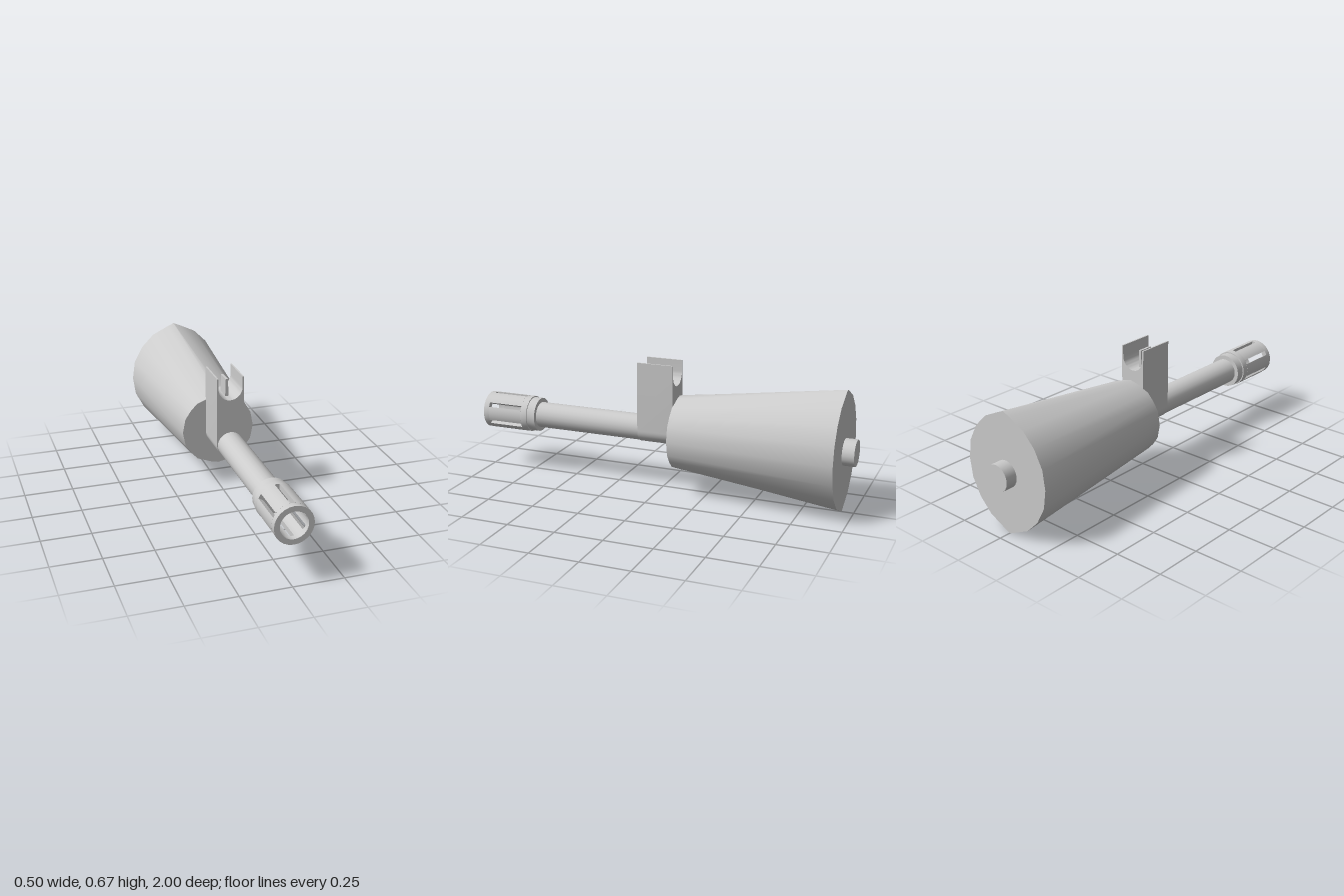
import * as THREE from 'three';
import { toCreasedNormals } from 'three/addons/utils/BufferGeometryUtils.js';

const AXIS = 0.313; // height of the barrel centreline
const material = new THREE.MeshStandardMaterial({ color: 0xcccccc });

function part(name, geometry, crease = 0.6) {
  const flat = geometry.index ? geometry.toNonIndexed() : geometry;
  const mesh = new THREE.Mesh(toCreasedNormals(flat, crease), material);
  mesh.name = name;
  return mesh;
}

// Extrude a front-facing shape between two z positions
function slab(name, shape, z0, z1, curveSegments = 12) {
  const g = new THREE.ExtrudeGeometry(shape, { depth: z1 - z0, bevelEnabled: false, curveSegments });
  return part(name, g.translate(0, 0, z0));
}

function rod(name, radius, z0, z1, sides = 20) {
  const g = new THREE.CylinderGeometry(radius, radius, z1 - z0, sides);
  return part(name, g.rotateX(Math.PI / 2).translate(0, AXIS, (z0 + z1) / 2));
}

function ring(outer, inner) {
  const s = new THREE.Shape().absarc(0, AXIS, outer, 0, Math.PI * 2, false);
  s.holes.push(new THREE.Path().absarc(0, AXIS, inner, 0, Math.PI * 2, true));
  return s;
}

// Mirror one quarter of an outline (side to top) into a full loop
function fullLoop(quarter) {
  const upper = [...quarter, ...quarter.slice(0, -1).reverse().map(([x, y]) => [-x, y])];
  return [...upper, ...upper.slice(1, -1).reverse().map(([x, y]) => [x, -y])];
}

// Tapered handguard lofted from two outlines and closed at both ends
function handguard() {
  const front = fullLoop([[0.19, 0], [0.176, 0.073], [0.147, 0.117], [0.112, 0.154], [0.035, 0.183], [0, 0.19]]);
  const back = fullLoop([[0.25, 0], [0.236, 0.097], [0.19, 0.184], [0.123, 0.252], [0.035, 0.295], [0, 0.31]]);
  const zf = -0.09, zb = -0.94, n = front.length;
  const pos = [];
  const put = ([x, y], z) => pos.push(x, y + AXIS, z);
  for (let i = 0; i < n; i++) {
    const j = (i + 1) % n;
    put(front[i], zf); put(back[i], zb); put(back[j], zb);
    put(front[i], zf); put(back[j], zb); put(front[j], zf);
    put([0, 0], zf); put(front[i], zf); put(front[j], zf);
    put([0, 0], zb); put(back[j], zb); put(back[i], zb);
  }
  const g = new THREE.BufferGeometry();
  g.setAttribute('position', new THREE.Float32BufferAttribute(pos, 3));
  return part('handguard', g);
}

// Muzzle device: collar, two rings and six bars leaving slots between them
function muzzle() {
  const group = new THREE.Group();
  group.name = 'muzzle';
  const R = 0.095, r = 0.068, half = 0.012, slots = 6;
  group.add(rod('muzzleCollar', 0.089, 0.70, 0.75, 24));
  group.add(slab('muzzleRearRing', ring(R, r), 0.745, 0.78));
  group.add(slab('muzzleFrontRing', ring(R, r), 0.97, 1.0));
  const ao = Math.asin(half / R), ai = Math.asin(half / r), step = (Math.PI * 2) / slots;
  for (let i = 0; i < slots; i++) {
    const a = Math.PI / 2 + i * step, b = a + step;
    const s = new THREE.Shape();
    s.absarc(0, AXIS, R, a + ao, b - ao, false);
    s.absarc(0, AXIS, r, b - ai, a + ai, true);
    group.add(slab('muzzleBar', s, 0.78, 0.97, 4));
  }
  return group;
}

// Front sight: a block wrapped round the barrel with a U notch between thin ears
function frontSight() {
  const group = new THREE.Group();
  group.name = 'frontSight';
  const w = 0.07, top = 0.67, notch = 0.062, notchY = 0.614;
  const s = new THREE.Shape();
  s.moveTo(w, top);
  s.lineTo(notch, top);
  s.absarc(0, notchY, notch, 0, -Math.PI, true);
  s.lineTo(-notch, top);
  s.lineTo(-w, top);
  s.absarc(0, AXIS, w, Math.PI, Math.PI * 2, false);
  s.closePath();
  group.add(slab('sightBlock', s, -0.077, 0.115));

  // Post narrowing toward its tip
  const p = new THREE.Shape();
  p.moveTo(-0.009, 0.545);
  p.lineTo(0.009, 0.545);
  p.lineTo(0.007, 0.61);
  p.lineTo(0.006, 0.642);
  p.lineTo(-0.006, 0.642);
  p.lineTo(-0.007, 0.61);
  p.closePath();
  group.add(slab('sightPost', p, -0.02, 0.055));
  return group;
}

export function createModel() {
  const model = new THREE.Group();
  model.name = 'barrelAssembly';
  model.add(
    rod('barrel', 0.067, -1, 0.74),
    rod('bore', 0.06, 0.74, 0.755),
    handguard(),
    frontSight(),
    muzzle(),
  );
  return model;
}
